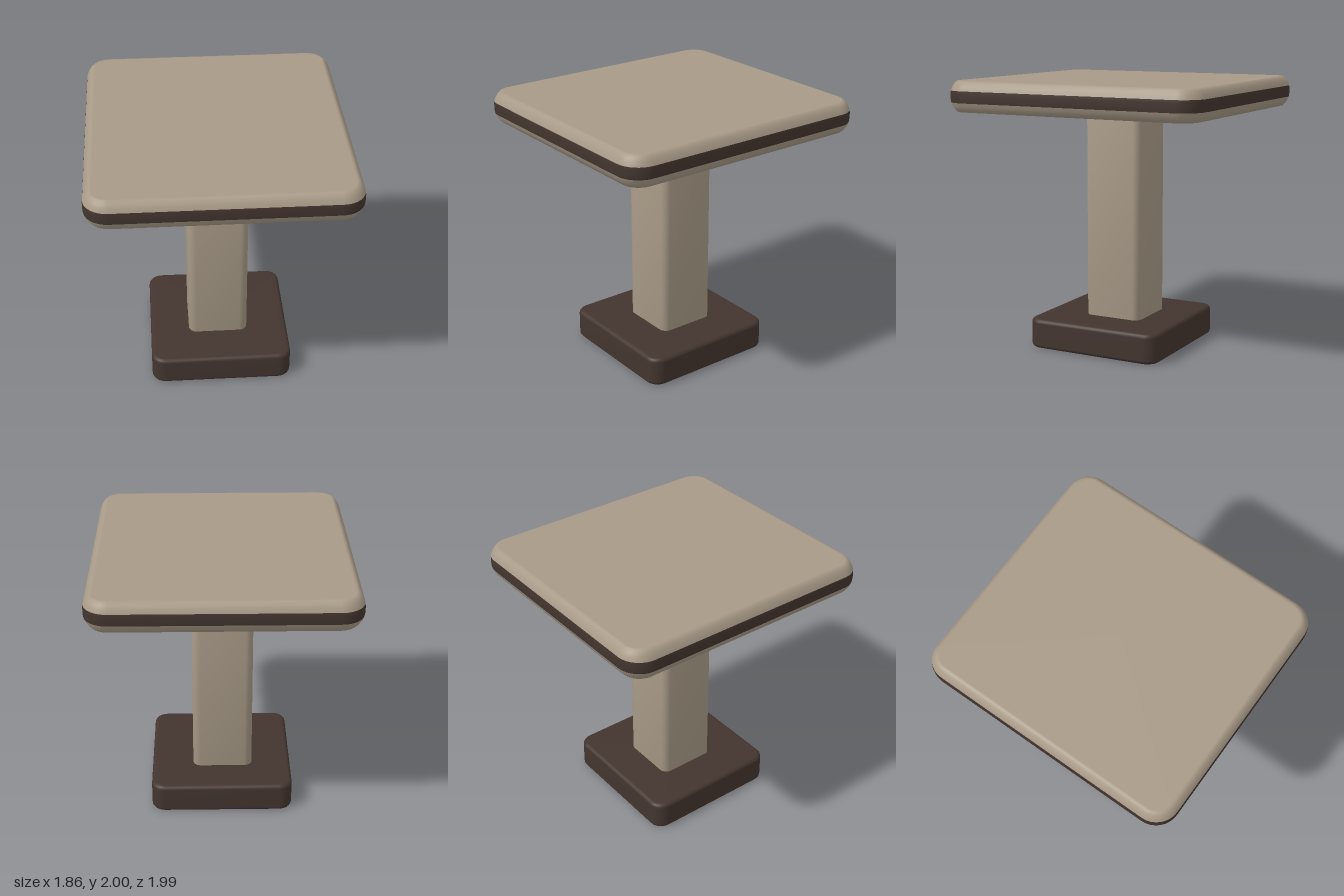
import * as THREE from 'three';

const CORNER_STEPS = 8;

// One horizontal rounded-rectangle loop, shrunk evenly by inset
function ring(halfX, halfZ, radius, inset, y) {
  const r = Math.max(radius - inset, 0.01);
  const cx = halfX - inset - r, cz = halfZ - inset - r;
  const points = [];
  [[1, 1], [-1, 1], [-1, -1], [1, -1]].forEach(([sx, sz], q) => {
    for (let i = 0; i <= CORNER_STEPS; i++) {
      const a = (q + i / CORNER_STEPS) * Math.PI / 2;
      points.push(sx * cx + r * Math.cos(a), y, sz * cz + r * Math.sin(a));
    }
  });
  return points;
}

// Skin a stack of [inset, y] loops from bottom to top, with optional flat caps
function loft(name, material, halfX, halfZ, radius, profile, capBottom, capTop) {
  const n = 4 * (CORNER_STEPS + 1), last = profile.length - 1;
  const positions = profile.flatMap(([inset, y]) => ring(halfX, halfZ, radius, inset, y));
  const index = [];
  for (let j = 0; j < last; j++) {
    for (let i = 0; i < n; i++) {
      const k = (i + 1) % n;
      const a = j * n + i, b = j * n + k;
      index.push(a, a + n, b, b, a + n, b + n);
    }
  }
  const cap = (row, up) => {
    const centre = positions.length / 3;
    positions.push(0, profile[row][1], 0);
    for (let i = 0; i < n; i++) {
      const a = row * n + i, b = row * n + (i + 1) % n;
      index.push(centre, up ? b : a, up ? a : b);
    }
  };
  if (capBottom) cap(0, false);
  if (capTop) cap(last, true);
  const geometry = new THREE.BufferGeometry();
  geometry.setAttribute('position', new THREE.Float32BufferAttribute(positions, 3));
  geometry.setIndex(index);
  geometry.computeVertexNormals();
  const mesh = new THREE.Mesh(geometry, material);
  mesh.name = name;
  return mesh;
}

export function createModel() {
  const model = new THREE.Group();
  model.name = 'pedestalTable';
  const wood = new THREE.MeshStandardMaterial({ color: 0xa89a87 });
  const dark = new THREE.MeshStandardMaterial({ color: 0x43352f });

  // Table top: two pale halves with rounded rims and a dark edge band between
  const topSize = [0.928, 0.995, 0.17];
  const upperRim = [[0.003, 1.93], [0.014, 1.957], [0.03, 1.981], [0.048, 1.998], [0.065, 2]];
  const lowerRim = upperRim.map(([inset, y]) => [inset, 3.775 - y]).reverse();
  model.add(loft('tableTopUpper', wood, ...topSize, upperRim, false, true));
  model.add(loft('tableTopLower', wood, ...topSize, lowerRim, true, false));
  model.add(loft('edgeBand', dark, ...topSize,
    [[0.003, 1.845], [0, 1.866], [0, 1.909], [0.003, 1.93]], false, false));

  // Square column with softened corners
  model.add(loft('column', wood, 0.225, 0.225, 0.06, [[0, 0.2], [0, 1.79]], true, true));

  // Base block, set slightly off centre
  const bevel = 0.03, height = 0.222, lower = [];
  for (let i = 0; i <= 4; i++) {
    const a = i / 4 * Math.PI / 2;
    lower.push([bevel * (1 - Math.sin(a)), bevel * (1 - Math.cos(a))]);
  }
  lower.unshift([bevel + 0.02, 0]);
  const upper = lower.map(([inset, y]) => [inset, height - y]).reverse();
  const base = loft('base', dark, 0.53, 0.53, 0.1, [...lower, ...upper], true, true);
  base.position.set(0.008, 0, 0.018);
  model.add(base);

  return model;
}
